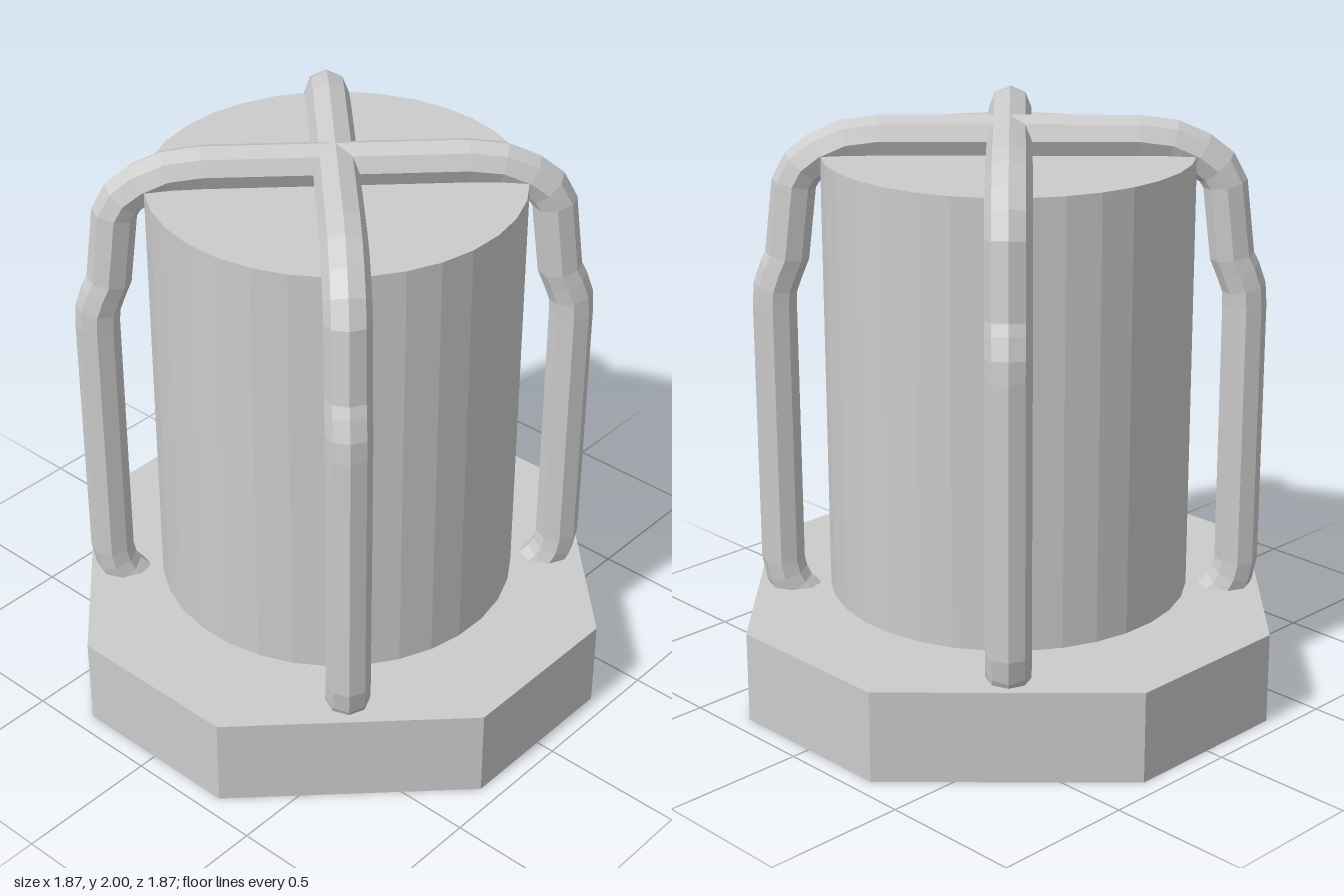
import * as THREE from 'three';

// Polyline curve whose samples land exactly on the given points
class Polyline extends THREE.Curve {
  constructor(points) {
    super();
    this.points = points;
  }
  getPoint(t, target = new THREE.Vector3()) {
    const f = t * (this.points.length - 1);
    const i = Math.min(Math.floor(f), this.points.length - 2);
    return target.lerpVectors(this.points[i], this.points[i + 1], f - i);
  }
  getPointAt(t, target) { return this.getPoint(t, target); }
  getTangentAt(t, target) { return this.getTangent(t, target); }
}

export function createModel() {
  const group = new THREE.Group();
  const material = new THREE.MeshStandardMaterial({ color: 0xcccccc, flatShading: true });
  const add = (name, geometry, parent = group) => {
    const mesh = new THREE.Mesh(geometry, material);
    mesh.name = name;
    parent.add(mesh);
    return mesh;
  };

  // Base: square slab with chamfered corners
  const a = 0.935, b = 0.31;
  const outline = [[a, -b], [a, b], [b, a], [-b, a], [-a, b], [-a, -b], [-b, -a], [b, -a]];
  const shape = new THREE.Shape(outline.map(([x, y]) => new THREE.Vector2(x, y)));
  const base = new THREE.ExtrudeGeometry(shape, { depth: 0.32, bevelEnabled: false });
  base.rotateX(-Math.PI / 2);
  add('base', base);

  // Lamp body, hovering just above the base
  const body = new THREE.CylinderGeometry(0.625, 0.625, 1.53, 32);
  body.rotateY(Math.PI / 32);
  body.translate(0, 1.11, 0);
  add('body', body);

  // Cage: four bent bars meeting over the centre, as [radius, height]
  const profile = [
    [0, 1.926], [0.43, 1.926], [0.54, 1.912], [0.63, 1.872], [0.69, 1.825], [0.72, 1.77],
    [0.75, 1.52], [0.772, 1.47], [0.793, 1.41], [0.797, 1.35],
    [0.797, 0.42], [0.785, 0.36], [0.76, 0.31], [0.72, 0.27],
  ];
  const path = new Polyline(profile.map(([r, y]) => new THREE.Vector3(r, y, 0)));
  const bar = new THREE.TubeGeometry(path, profile.length - 1, 0.075, 8, false);
  const cage = new THREE.Group();
  cage.name = 'cage';
  cage.position.x = -0.005;
  for (let i = 0; i < 4; i++) {
    add('cageBar', bar, cage).rotation.y = Math.PI / 4 + i * Math.PI / 2;
  }
  group.add(cage);

  return group;
}
